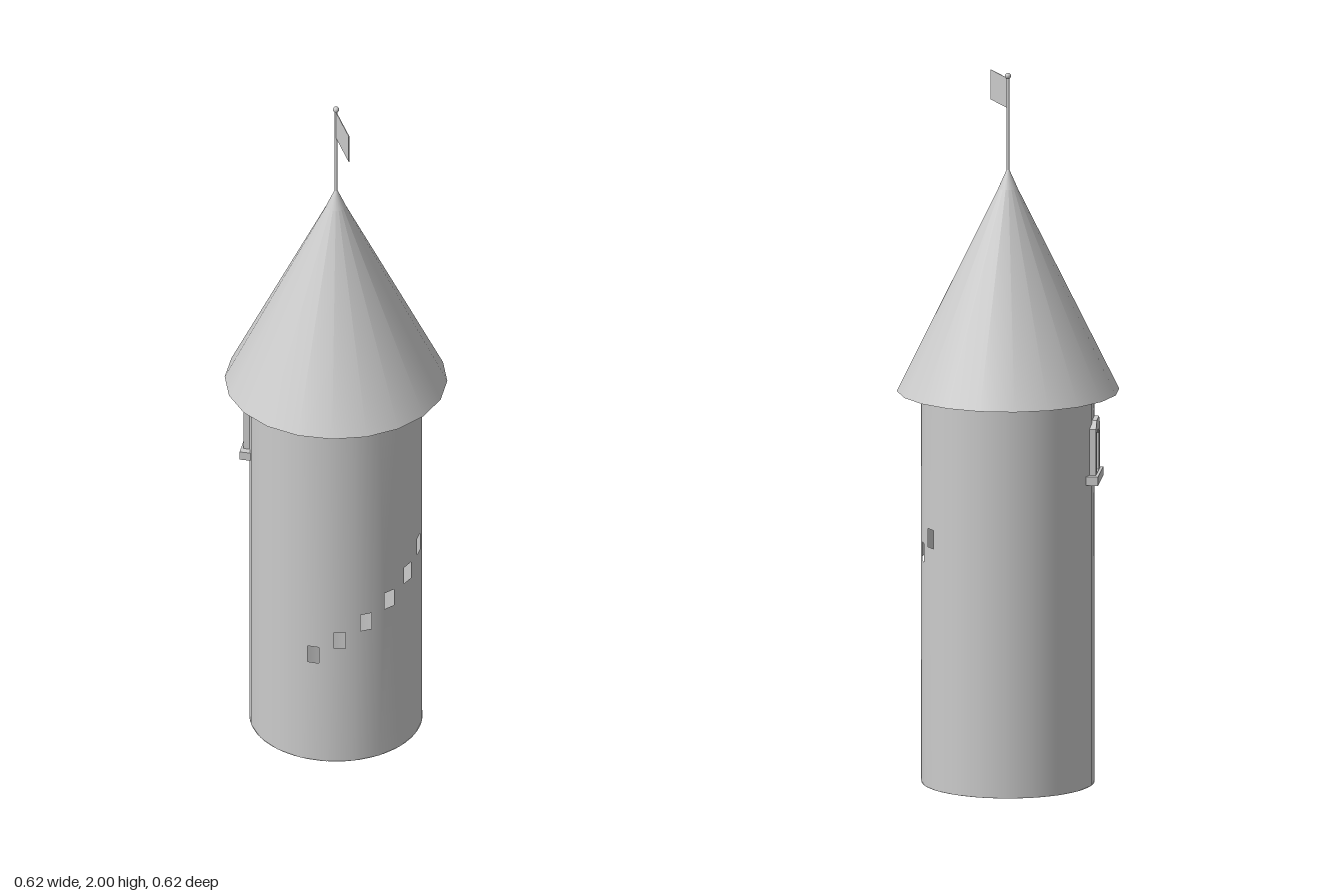
import * as THREE from 'three';
import { mergeGeometries } from 'three/addons/utils/BufferGeometryUtils.js';

const R = 0.24, WALL_TOP = 1.105;
const WINDOW_ANGLE = 243;
const rad = THREE.MathUtils.degToRad;

export function createModel() {
  const model = new THREE.Group();
  const solid = new THREE.MeshStandardMaterial({ color: 0xcccccc });
  const thin = new THREE.MeshStandardMaterial({ color: 0xcccccc, side: THREE.DoubleSide });

  const add = (name, geometry, y = 0, material = solid, parent = model) => {
    const mesh = new THREE.Mesh(geometry, material);
    mesh.name = name;
    mesh.position.y = y;
    parent.add(mesh);
    return mesh;
  };

  // Rectangle outline with the two top corners cut off
  const outline = (Type, halfW, y0, y1, cut = 0) => new Type([
    [-halfW, y0], [halfW, y0], [halfW, y1 - cut], [halfW - cut, y1],
    [cut - halfW, y1], [-halfW, y1 - cut],
  ].filter((p, i) => cut > 0 || (i !== 3 && i !== 4)).map(([x, y]) => new THREE.Vector2(x, y)));

  // One flat wall panel between two angles, with an optional opening
  const wallPanel = (from, to, hole) => {
    const half = rad(to - from) / 2;
    const shape = outline(THREE.Shape, R * Math.sin(half), 0, WALL_TOP);
    if (hole) shape.holes.push(hole);
    const g = new THREE.ShapeGeometry(shape);
    g.translate(0, 0, R * Math.cos(half));
    g.rotateY(rad((from + to) / 2));
    // Radial normals make the panels read as one round wall
    const p = g.attributes.position, n = g.attributes.normal;
    for (let i = 0; i < p.count; i++) {
      const l = Math.hypot(p.getX(i), p.getZ(i));
      n.setXYZ(i, p.getX(i) / l, 0, p.getZ(i) / l);
    }
    return g;
  };

  // Hollow wall: eight small openings climb in a spiral, one panel holds the window
  const edges = Array.from({ length: 21 }, (_, i) => -40.5 + 18 * i);
  edges[15] = WINDOW_ANGLE - 9;
  edges[16] = WINDOW_ANGLE + 9;
  const panels = [];
  for (let i = 0; i < 20; i++) {
    let hole = null;
    if (i < 8) {
      const y = 0.345 + 0.0515 * i;
      hole = outline(THREE.Path, 0.0165, y - 0.026, y + 0.026);
    } else if (i === 15) {
      hole = outline(THREE.Path, 0.032, 0.885, 0.998, 0.015);
    }
    panels.push(wallPanel(edges[i], edges[i + 1], hole));
  }
  add('towerWall', mergeGeometries(panels), 0, thin);

  // Floor
  const floor = new THREE.CircleGeometry(R, 40);
  floor.rotateX(Math.PI / 2);
  add('towerFloor', floor, 0, thin);

  // Window frame and sill
  const windowGroup = new THREE.Group();
  windowGroup.name = 'window';
  windowGroup.rotation.y = rad(WINDOW_ANGLE);
  model.add(windowGroup);
  const frameShape = outline(THREE.Shape, 0.053, 0.87, 1.03, 0.022);
  frameShape.holes.push(outline(THREE.Path, 0.031, 0.88, 0.998, 0.015));
  const frame = new THREE.ExtrudeGeometry(frameShape, { depth: 0.025, bevelEnabled: false });
  add('windowFrame', frame, 0, solid, windowGroup).position.z = 0.225;
  const sill = new THREE.BoxGeometry(0.145, 0.025, 0.035);
  add('windowSill', sill, 0.866, solid, windowGroup).position.z = 0.24;

  // Roof and its tip
  add('roof', new THREE.ConeGeometry(0.308, 0.623, 20), WALL_TOP + 0.3115);
  add('roofTip', new THREE.CylinderGeometry(0.004, 0.027, 0.052, 24), 1.7);

  // Flagpole, ball and flag
  add('flagpole', new THREE.CylinderGeometry(0.004, 0.004, 0.28, 12), 1.852);
  add('poleBall', new THREE.SphereGeometry(0.0085, 16, 10), 1.9915);
  const flag = new THREE.BoxGeometry(0.002, 0.084, 0.13);
  add('flag', flag, 1.942).position.z = 0.066;

  return model;
}
